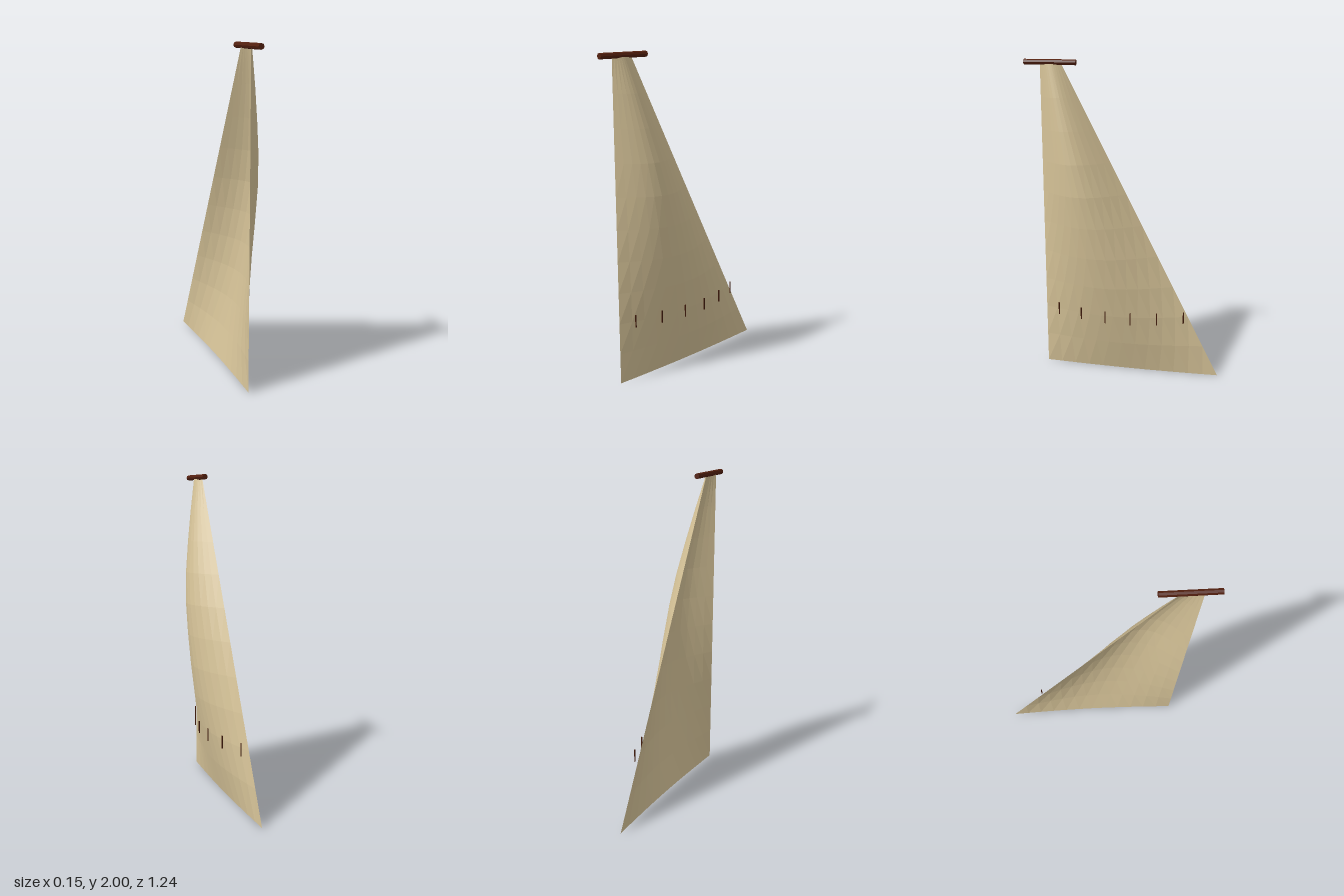
import * as THREE from 'three';

export function createModel() {
  const group = new THREE.Group();
  const canvas = new THREE.MeshStandardMaterial({ color: 0xd6c398, flatShading: true, side: THREE.DoubleSide });
  canvas.name = 'canvas';
  const wood = new THREE.MeshStandardMaterial({ color: 0x54200f, flatShading: true });
  wood.name = 'dark wood';
  const cord = new THREE.MeshStandardMaterial({ color: 0x431c0c });
  cord.name = 'reef cord';

  // Sail: straight edges lie in one plane, the middle bellies out towards +x
  const edgeX = -0.077, luffZ = 0.525, top = 1.972;
  const depths = [0.014, 0.058, 0.095, 0.123, 0.141, 0.15, 0.151, 0.135, 0.105, 0.07, 0.03];
  const depthAt = (v) => {
    const f = v * 10, i = Math.min(9, Math.floor(f));
    return THREE.MathUtils.lerp(depths[i], depths[i + 1], f - i);
  };
  const sailGeo = new THREE.PlaneGeometry(1, 1, 12, 10);
  const pos = sailGeo.attributes.position;
  for (let i = 0; i < pos.count; i++) {
    const t = pos.getX(i) + 0.5, v = pos.getY(i) + 0.5;
    const leechZ = THREE.MathUtils.lerp(-0.615, 0.39, v);
    pos.setXYZ(i,
      edgeX + depthAt(v) * Math.sin(Math.PI * t),
      v * top,
      THREE.MathUtils.lerp(luffZ, leechZ, t));
  }
  sailGeo.computeVertexNormals();
  const sail = new THREE.Mesh(sailGeo, canvas);
  sail.name = 'sail';
  group.add(sail);

  // Short spar across the head of the sail
  const spar = new THREE.Mesh(new THREE.CylinderGeometry(0.017, 0.017, 0.325, 8), wood);
  spar.name = 'headSpar';
  spar.rotation.x = Math.PI / 2;
  spar.position.set(-0.063, 1.983, 0.4575);
  group.add(spar);

  // Row of reef points hanging just off the belly
  const reefPoints = new THREE.Group();
  reefPoints.name = 'reefPoints';
  const reefX = [-0.037, 0.018, 0.05];
  for (let i = 0; i < 6; i++) {
    const tie = new THREE.Mesh(new THREE.BoxGeometry(0.005, 0.08, 0.007), cord);
    tie.name = 'reefPoint';
    tie.position.set(reefX[Math.min(i, 5 - i)], 0.4, 0.43 - i * 0.164);
    reefPoints.add(tie);
  }
  group.add(reefPoints);
  return group;
}
